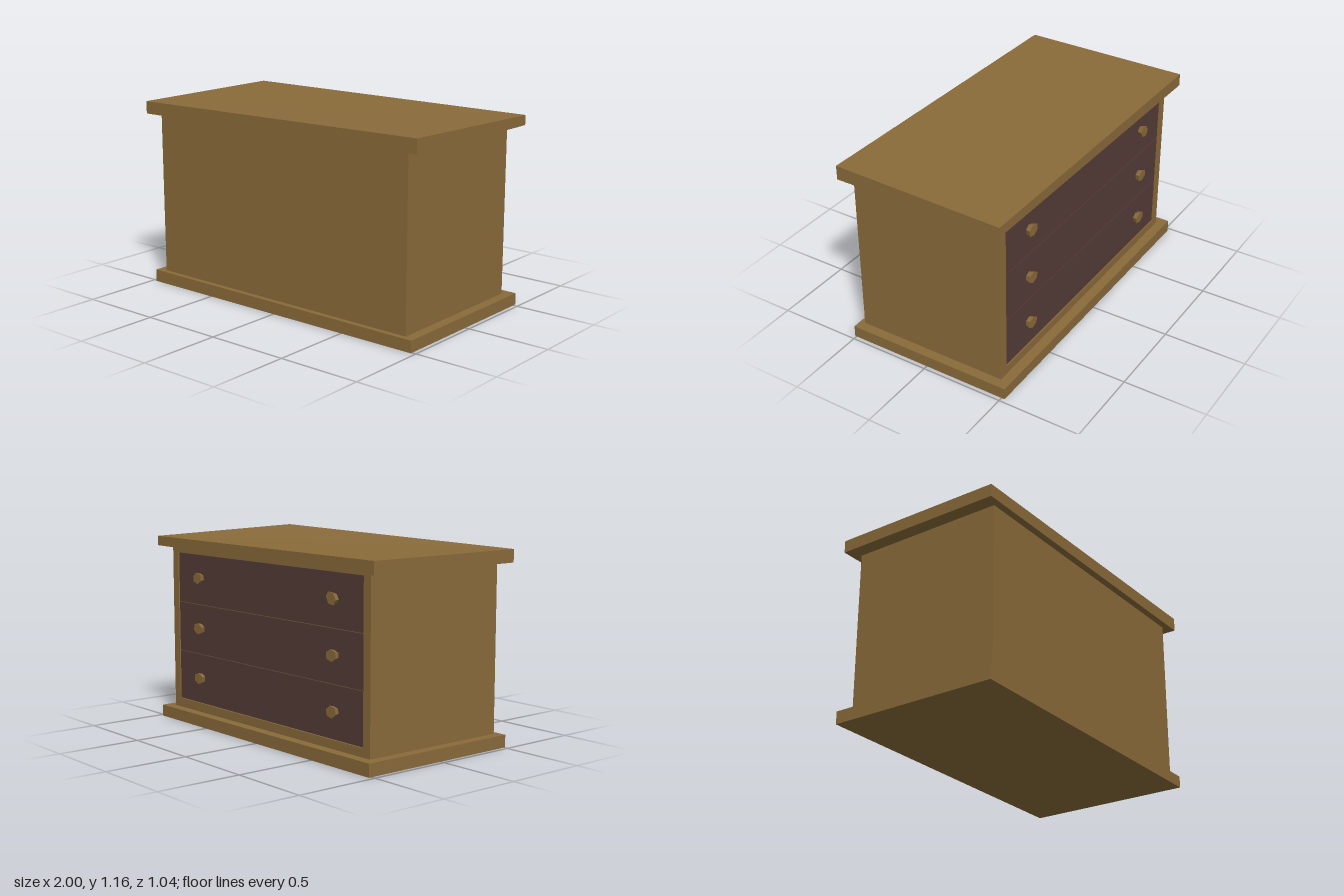
import * as THREE from 'three';

const wood = new THREE.MeshStandardMaterial({ color: 0x8a6b3a, flatShading: true });
const dark = new THREE.MeshStandardMaterial({ color: 0x553c36, flatShading: true });

function add(group, name, geometry, material) {
  const mesh = new THREE.Mesh(geometry, material);
  mesh.name = name;
  group.add(mesh);
  return mesh;
}

// Box given by its limits on each axis
function block(x0, x1, y0, y1, z0, z1) {
  return new THREE.BoxGeometry(x1 - x0, y1 - y0, z1 - z0)
    .translate((x0 + x1) / 2, (y0 + y1) / 2, (z0 + z1) / 2);
}

// Hand-hewn slab: corner heights [left-back, right-back, left-front, right-front] in x, z order
function slab(x0, x1, z0, z1, bottoms, tops) {
  const g = block(x0, x1, 0, 1, z0, z1);
  const p = g.attributes.position;
  for (let i = 0; i < p.count; i++) {
    const corner = (p.getX(i) > 0 ? 1 : 0) + (p.getZ(i) > 0 ? 2 : 0);
    p.setY(i, (p.getY(i) > 0.5 ? tops : bottoms)[corner]);
  }
  g.computeVertexNormals();
  return g;
}

export function createModel() {
  const chest = new THREE.Group();
  chest.name = 'chestOfDrawers';

  // Slightly uneven base and top
  add(chest, 'base', slab(-0.975, 0.975, -0.52, 0.51,
    [0, 0, 0, 0], [0.075, 0.07, 0.073, 0.07]), wood);
  add(chest, 'top', slab(-1, 1, -0.515, 0.52,
    [1.048, 1.072, 1.05, 1.073], [1.123, 1.13, 1.125, 1.157]), wood);

  // Carcass with a shallow frame round the drawers
  const X = 0.916, backZ = -0.46, recess = 0.014;
  const inX = 0.86, inY0 = 0.125, inY1 = 1.035;
  add(chest, 'body', block(-X, X, 0.06, 1.08, backZ + recess, 0.478), wood);
  const outline = new THREE.Shape();
  outline.moveTo(-X, 0.06).lineTo(X, 0.06).lineTo(X, 1.08).lineTo(-X, 1.08).closePath();
  const opening = new THREE.Path();
  opening.moveTo(-inX, inY0).lineTo(-inX, inY1).lineTo(inX, inY1).lineTo(inX, inY0).closePath();
  outline.holes.push(opening);
  const frame = new THREE.ExtrudeGeometry(outline, { depth: recess, bevelEnabled: false });
  add(chest, 'drawerFrame', frame.translate(0, 0, backZ), wood);

  // Six-sided knob, wider at its outer end, lying along z
  const knob = new THREE.CylinderGeometry(0.032, 0.044, 0.034, 6)
    .rotateX(Math.PI / 2).scale(1, 0.8, 1);
  const knobTurns = [[0.1, -0.2], [0.15, -0.1], [-0.15, 0.6]];

  // Three drawers, each with two knobs
  const step = (inY1 - inY0) / 3;
  for (let i = 0; i < 3; i++) {
    const y = inY0 + i * step;
    const drawer = new THREE.Group();
    drawer.name = 'drawer' + (i + 1);
    chest.add(drawer);
    add(drawer, 'drawerFront',
      block(-inX + 0.003, inX - 0.003, y + 0.002, y + step - 0.002, backZ + 0.005, backZ + 0.02), dark);
    [1, -1].forEach((side, k) => {
      const handle = add(drawer, 'knob', knob, wood);
      handle.position.set(side * 0.625, 0.283 + i * 0.306, -0.467);
      handle.rotation.z = knobTurns[i][k];
    });
  }
  return chest;
}
